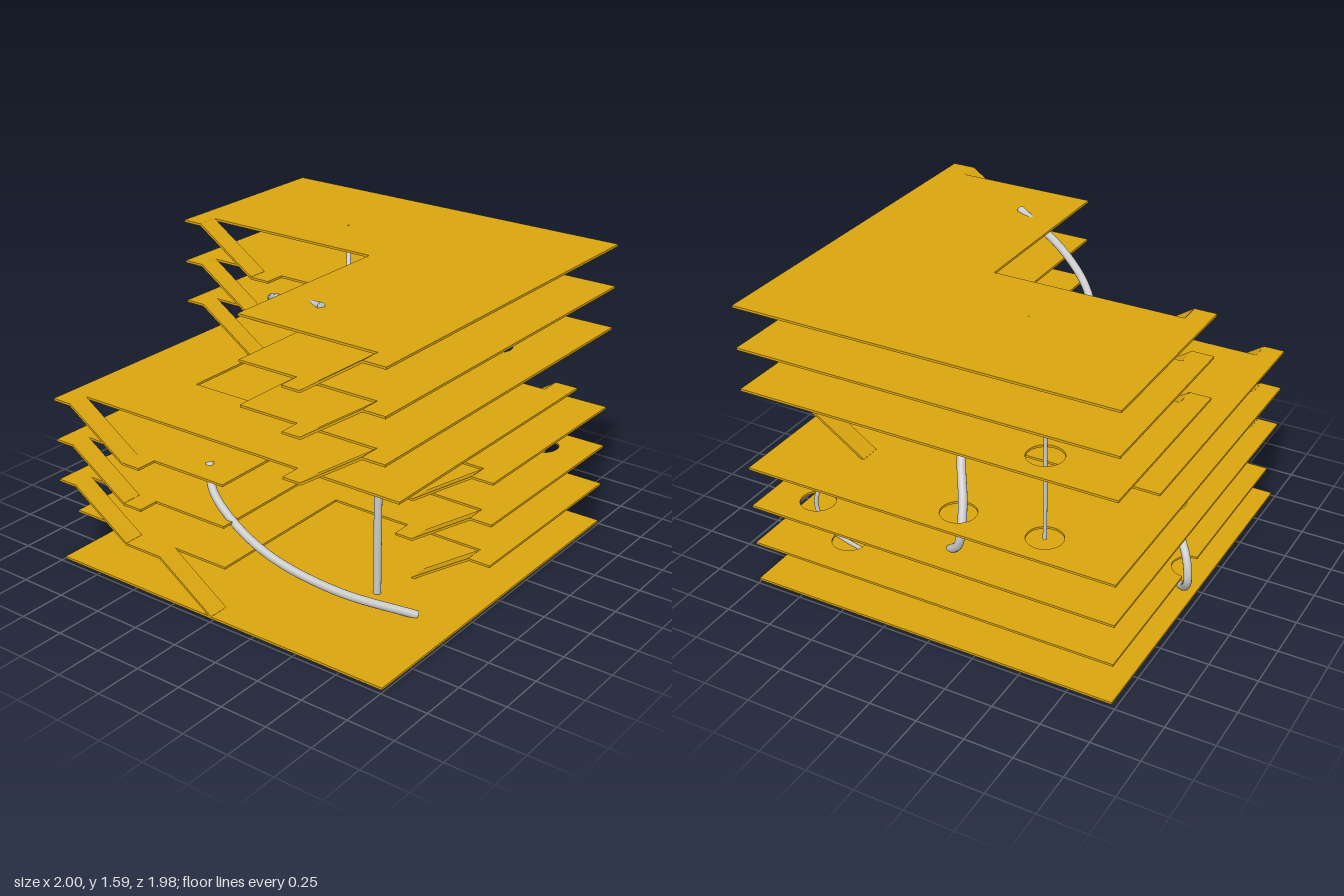
import * as THREE from 'three';

const gold = new THREE.MeshStandardMaterial({ color: 0xdaa50f });
const grey = new THREE.MeshStandardMaterial({ color: 0xcccccc });
const L = -0.98, R = 1, B = -0.99, F = 0.99;   // plan limits
const F2 = 0.88;                               // front edge behind the ramps
const T = 0.012;                               // plate thickness
const level = (i) => 0.02 + 0.22 * i;

const add = (group, name, geometry, material) => {
  const mesh = new THREE.Mesh(geometry, material);
  mesh.name = name;
  group.add(mesh);
};

// horizontal slab from a plan outline of [x, z] points with round and polygonal holes
function slab(outline, i, rounds = [], cutouts = []) {
  const shape = new THREE.Shape(outline.map((p) => new THREE.Vector2(...p)));
  for (const [x, z] of rounds) shape.holes.push(new THREE.Path().absarc(x, z, 0.09, 0, Math.PI * 2));
  for (const c of cutouts) shape.holes.push(new THREE.Path(c.map((p) => new THREE.Vector2(...p))));
  const g = new THREE.ExtrudeGeometry(shape, { depth: T, bevelEnabled: false, curveSegments: 16 });
  return g.rotateX(Math.PI / 2).translate(0, level(i) + T / 2, 0);
}

// ramp plate descending one storey from floor i, between two x values
function ramp(i, xTop, xFoot, z0) {
  const a = level(i), b = level(i - 1), t = T * 0.6;
  const pts = [[xTop, a - t], [xFoot, b - t], [xFoot, b + t], [xTop, a + t]];
  const shape = new THREE.Shape(pts.map((p) => new THREE.Vector2(...p)));
  return new THREE.ExtrudeGeometry(shape, { depth: 0.11, bevelEnabled: false }).translate(0, 0, z0);
}

// closed round rod through a few points
function rod(points, r) {
  const curve = new THREE.CatmullRomCurve3(points.map((p) => new THREE.Vector3(...p)));
  const g = new THREE.Group();
  add(g, 'rodBody', new THREE.TubeGeometry(curve, 48, r, 14), grey);
  for (const t of [0, 1]) {
    const cap = new THREE.CircleGeometry(r, 14);
    const dir = curve.getTangent(t).multiplyScalar(t ? 1 : -1);
    cap.applyQuaternion(new THREE.Quaternion().setFromUnitVectors(new THREE.Vector3(0, 0, 1), dir));
    const p = curve.getPoint(t);
    add(g, 'rodCap', cap.translate(p.x, p.y, p.z), grey);
  }
  return g;
}

// lower floors: open at the front right quarter
function lowerOutline(i) {
  const pts = [[L, B], [R, B], [R, 0.11], [0.88, 0.11], [0.88, 0]];
  if (i < 3) pts.push([0.55, 0], [0.55, 0.11], [0.45, 0.11], [0.45, 0]);   // landing
  pts.push([0, 0], [0, F2]);
  if (i === 1) pts.push([-0.32, F2], [-0.32, F], [-0.54, F], [-0.54, F2]);
  else pts.push([-0.43, F2], [-0.43, F], [-0.54, F], [-0.54, F2], [-0.87, F2], [-0.87, F]);
  pts.push([L, i === 1 ? F2 : F]);
  if (i === 1) {                                // round bite for the rod at the left edge
    for (let k = 0; k <= 12; k++) {
      const a = Math.PI / 2 - (k / 12) * Math.PI;
      pts.push([L + 0.09 * Math.cos(a), -0.14 + 0.09 * Math.sin(a)]);
    }
  }
  return pts;
}

// upper floors: open at the front left quarter
function upperOutline(i) {
  const pts = [[L, B], [R, B], [R, F], [0.88, F], [0.88, F2]];
  if (i < 7) pts.push([0.55, F2], [0.55, F], [0.45, F], [0.45, F2]);
  pts.push([0.12, F2], [0.12, -0.11]);
  if (i < 7) pts.push([-0.43, -0.11], [-0.43, 0], [-0.54, 0], [-0.54, -0.11]);
  pts.push([-0.87, -0.11], [-0.87, 0], [L, 0]);
  return pts;
}

export function createModel() {
  const model = new THREE.Group();
  model.name = 'stackedFloors';

  // floors
  const openings = {
    1: [[0.6, -0.75]],
    2: [[0.74, -0.8], [-0.78, 0.03]],
    3: [[-0.54, -0.82], [-0.09, -0.83]],
    5: [[-0.54, -0.82], [0.66, -0.42]],
    6: [[-0.12, -0.27], [0.57, -0.58]],
  };
  add(model, 'baseFloor', slab([[L, B], [R, B], [R, F], [L, F]], 0), gold);
  for (const i of [1, 2, 3]) add(model, 'lowerFloor', slab(lowerOutline(i), i, openings[i]), gold);
  for (const i of [5, 6, 7]) add(model, 'upperFloor', slab(upperOutline(i), i, openings[i]), gold);
  const middle = [[L, -0.55], [0.88, -0.55], [0.88, -0.66], [R, -0.66], [R, F2],
    [0.55, F2], [0.55, F], [0.45, F], [0.45, F2], [-0.87, F2], [-0.87, F], [L, F]];
  const atrium = [[-0.54, 0.44], [0.12, 0.44], [0.12, -0.11], [-0.43, -0.11], [-0.43, 0], [-0.54, 0]];
  add(model, 'middleFloor', slab(middle, 4, [[0.5, 0.33]], [atrium]), gold);

  // ramps
  for (let i = 1; i <= 7; i++) {
    const left = i > 4 ? -0.11 : F2;
    const right = i > 4 ? F2 : i === 4 ? -0.66 : 0;
    if (i === 1) add(model, 'entryRamp', ramp(1, -0.32, 0, F2), gold);
    else add(model, 'leftRamp', ramp(i, -0.87, -0.54, left), gold);
    add(model, 'rightRamp', ramp(i, 0.88, 0.55, right), gold);
  }

  // rods
  const rods = {
    topThickRod: [0.02, [[0.37, 1.57, 0.6], [0.03, 1.48, 0.43], [-0.2, 1.385, 0.25], [-0.33, 1.28, 0.05], [-0.36, 1.2, -0.1], [-0.33, 1.125, -0.23]]],
    topLeftThinRod: [0.011, [[-0.25, 1.56, -0.44], [-0.15, 1.38, -0.3], [-0.09, 1.22, -0.15], [-0.075, 1.06, 0], [-0.12, 0.87, 0.13], [-0.2, 0.76, 0.18], [-0.33, 0.685, 0.19]]],
    topRightThinRod: [0.011, [[0.53, 1.55, -0.38], [0.515, 1.46, -0.52], [0.56, 1.34, -0.58], [0.62, 1.23, -0.53], [0.66, 1.1, -0.41], [0.65, 1, -0.31], [0.61, 0.9, -0.22]]],
    middleThickRod: [0.022, [[-0.03, 1.12, -0.42], [0.025, 1.02, -0.5], [0, 0.89, -0.64], [-0.09, 0.72, -0.79], [-0.12, 0.6, -0.86], [-0.1, 0.52, -0.86], [-0.04, 0.46, -0.83]]],
    backPost: [0.01, [[-0.54, 0.68, -0.82], [-0.54, 1.34, -0.82]]],
    frontPost: [0.02, [[0.5, 0.02, 0.33], [0.5, 1.12, 0.33]]],
    lowerLeftRod: [0.021, [[-0.52, 0.69, 0.19], [-0.65, 0.58, 0.12], [-0.82, 0.42, 0], [-0.95, 0.28, -0.12], [-0.975, 0.17, -0.145], [-0.94, 0.08, -0.09], [-0.88, 0.02, -0.01]]],
    lowerFrontRod: [0.021, [[-0.2, 0.69, 0.74], [-0.14, 0.58, 0.79], [0, 0.45, 0.8], [0.2, 0.31, 0.76], [0.48, 0.16, 0.62], [0.78, 0.03, 0.39]]],
    lowerBackRod: [0.011, [[0.52, 0.675, -0.65], [0.65, 0.62, -0.73], [0.74, 0.52, -0.79], [0.75, 0.42, -0.8], [0.69, 0.3, -0.78], [0.52, 0.17, -0.71], [0.24, 0.02, -0.62]]],
  };
  for (const [name, [r, pts]] of Object.entries(rods)) {
    const g = rod(pts, r);
    g.name = name;
    model.add(g);
  }
  return model;
}
